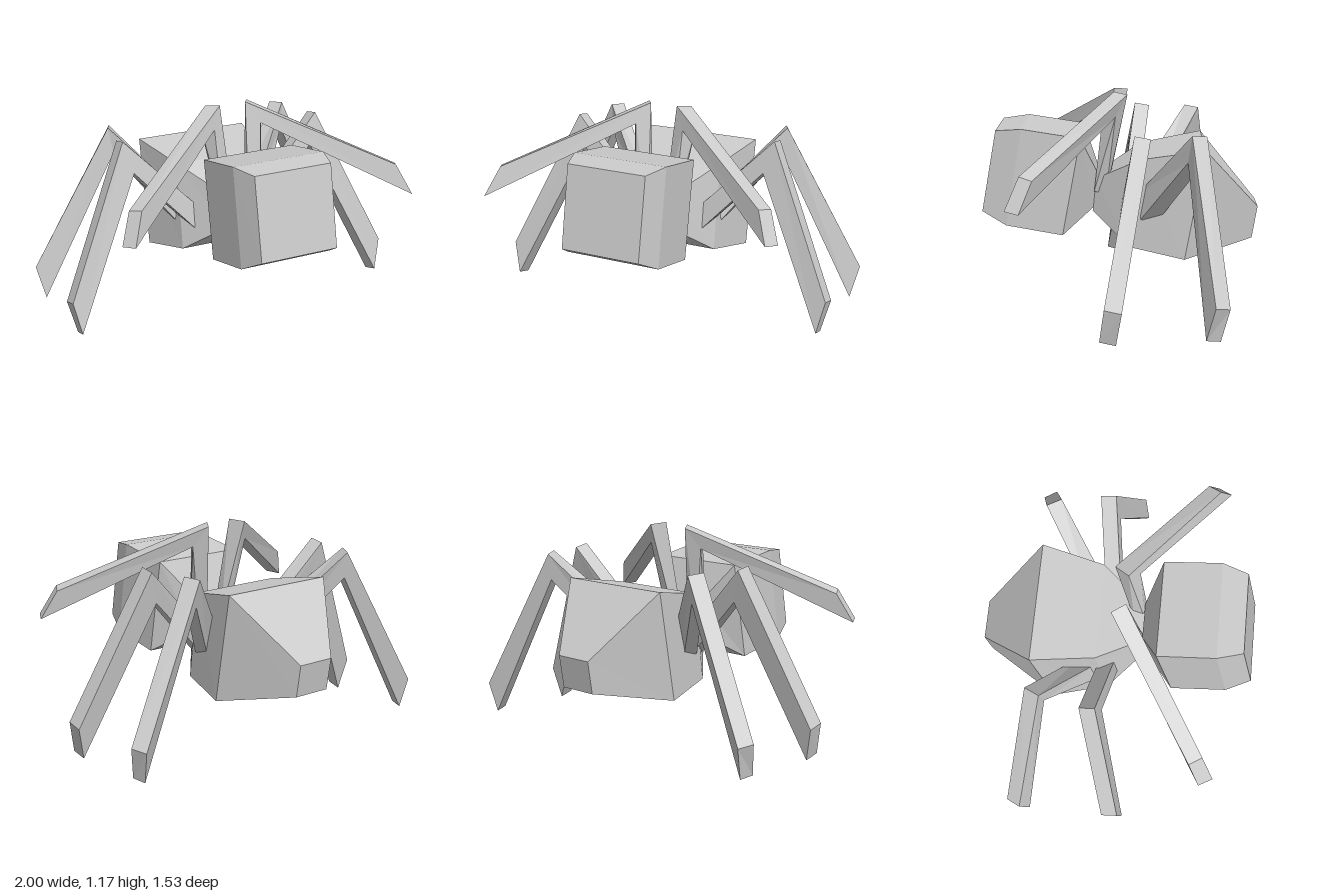
import * as THREE from 'three';

// Skin a list of four-cornered cross-sections, closing both ends
function loft(name, rings, mirror = 1) {
  const pts = rings.flat().map(([x, y, z]) => new THREE.Vector3(x * mirror, y, z));
  const tris = [];
  const quad = (a, b, c, d) => tris.push([a, b, c], [a, c, d]);
  quad(3, 2, 1, 0);
  for (let r = 0; r < rings.length - 1; r++) {
    for (let i = 0; i < 4; i++) {
      const j = (i + 1) % 4;
      quad(r * 4 + i, r * 4 + j, r * 4 + 4 + j, r * 4 + 4 + i);
    }
  }
  const e = (rings.length - 1) * 4;
  quad(e, e + 1, e + 2, e + 3);

  // Turn the faces outward whatever the order of the corners
  const c = pts[0];
  let volume = 0;
  for (const [i, j, k] of tris) {
    const u = pts[i].clone().sub(c), v = pts[j].clone().sub(c), w = pts[k].clone().sub(c);
    volume += u.dot(v.cross(w));
  }
  if (volume < 0) tris.forEach((t) => t.reverse());

  const geometry = new THREE.BufferGeometry().setFromPoints(tris.flat().map((i) => pts[i]));
  geometry.computeVertexNormals();
  const mesh = new THREE.Mesh(geometry, new THREE.MeshStandardMaterial({ color: 0xcccccc, flatShading: true }));
  mesh.name = name;
  return mesh;
}

// Body cross-section: half width, then height and depth of its top and bottom edges
const slice = ([w, yTop, zTop, yLow, zLow]) => [
  [-w, yTop, zTop], [w, yTop, zTop], [w, yLow, zLow], [-w, yLow, zLow],
];

// Leg sections (base, knee, tip), corners: outer rear, outer front, inner front, inner rear
const LEGS = {
  frontLeg: [
    [[0.05, 0.605, 0.08], [0.05, 0.62, 0.14], [0.12, 0.62, 0.15], [0.11, 0.605, 0.085]],
    [[0.13, 1.165, -0.035], [0.08, 1.175, 0.04], [0.145, 1.06, 0.1], [0.19, 1.05, 0.03]],
    [[0.82, 0.82, 0.44], [0.78, 0.835, 0.51], [0.85, 0.67, 0.58], [0.89, 0.66, 0.505]],
  ],
  middleLeg: [
    [[0.22, 0.6, -0.1], [0.2, 0.6, -0.01], [0.2, 0.45, 0.01], [0.2, 0.45, -0.08]],
    [[0.615, 1.0, -0.16], [0.615, 1.015, -0.075], [0.565, 0.835, -0.045], [0.565, 0.82, -0.13]],
    [[1, 0.18, -0.015], [1, 0.2, 0.075], [0.96, 0.02, 0.1], [0.955, 0, 0.015]],
  ],
  rearLeg: [
    [[0.2, 0.6, -0.2], [0.24, 0.64, -0.1], [0.29, 0.5, -0.11], [0.25, 0.45, -0.18]],
    [[0.53, 1.0, -0.455], [0.57, 1.01, -0.375], [0.55, 0.865, -0.355], [0.535, 0.85, -0.43]],
    [[0.96, 0.195, -0.56], [1, 0.21, -0.485], [0.96, 0.03, -0.44], [0.94, 0.02, -0.515]],
  ],
};

export function createModel() {
  const model = new THREE.Group();
  model.name = 'spider';

  // Boxy head, bevelled at the face and tapering to the neck
  model.add(loft('head', [
    [0.23, 0.98, 0.685, 0.53, 0.765],
    [0.275, 0.995, 0.54, 0.46, 0.63],
    [0.275, 0.945, 0.22, 0.405, 0.32],
    [0.1, 0.73, 0.135, 0.525, 0.155],
  ].map(slice)));

  // Abdomen, widest in the middle and pinched at both ends
  model.add(loft('abdomen', [
    [0.1, 0.69, 0.14, 0.505, 0.16],
    [0.275, 0.83, -0.11, 0.34, -0.045],
    [0.34, 0.89, -0.46, 0.285, -0.35],
    [0.11, 0.535, -0.765, 0.355, -0.735],
  ].map(slice)));

  // Three bent legs on each side
  for (const [name, rings] of Object.entries(LEGS)) {
    model.add(loft(name + 'Left', rings, 1), loft(name + 'Right', rings, -1));
  }
  return model;
}
